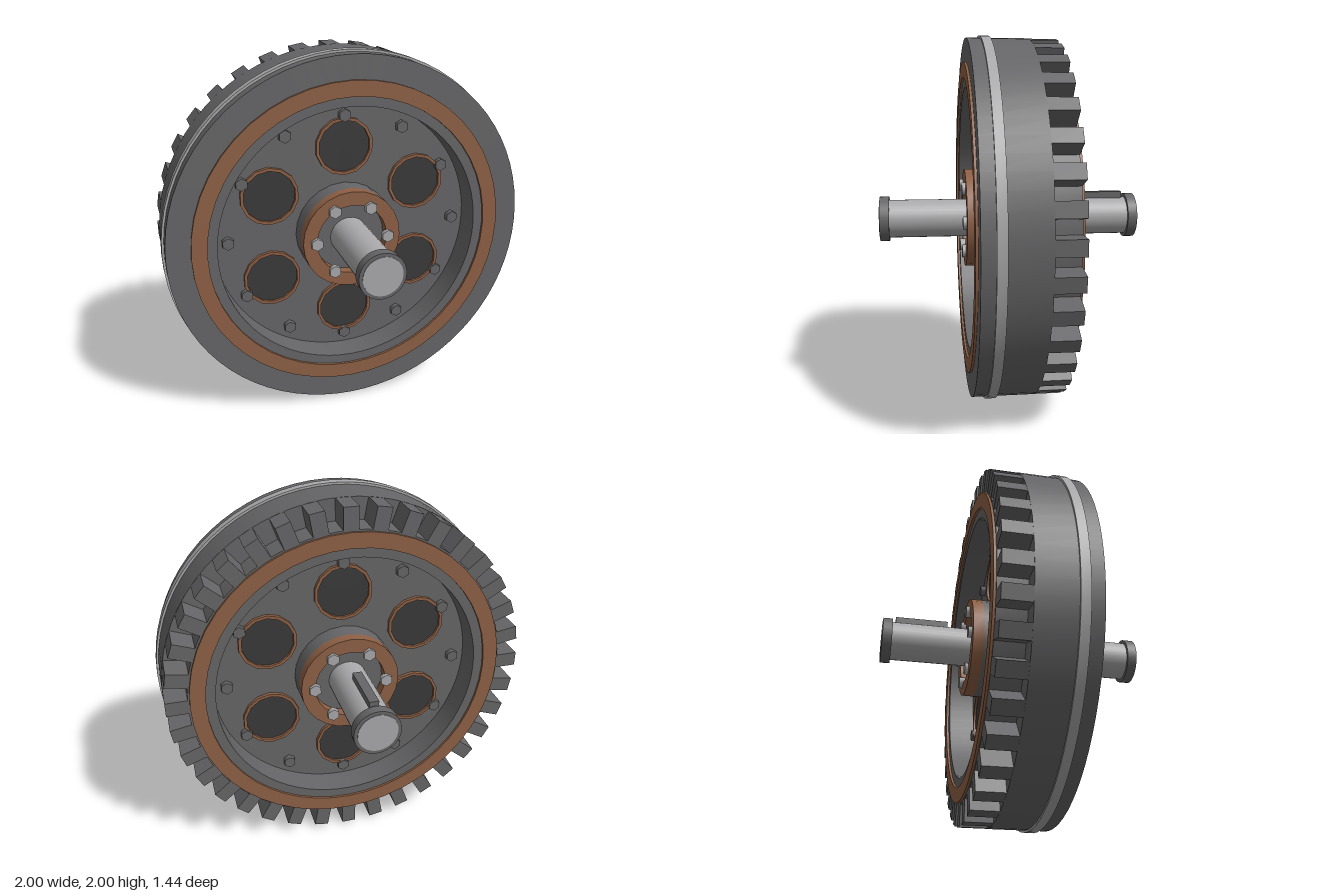
import * as THREE from 'three';
import { toCreasedNormals } from 'three/addons/utils/BufferGeometryUtils.js';

const mat = (name, color) => {
  const m = new THREE.MeshStandardMaterial({ color });
  m.name = name;
  return m;
};

export function createModel() {
  const iron = mat('dark iron', 0x666668);
  const copper = mat('copper', 0x8e6045);
  const black = mat('opening black', 0x3a3a3a);
  const steel = mat('bright steel', 0xaaaaac);

  const model = new THREE.Group();
  const wheel = new THREE.Group();
  wheel.name = 'wheel';
  wheel.position.y = 1;
  model.add(wheel);

  const add = (name, geo, material, x = 0, y = 0, z = 0) => {
    const mesh = new THREE.Mesh(geo, material);
    mesh.name = name;
    mesh.position.set(x, y, z);
    wheel.add(mesh);
    return mesh;
  };
  // Turned solid around the z axis from a closed [radius, z] profile
  const turned = (profile, sides) => toCreasedNormals(
    new THREE.LatheGeometry(profile.map(([r, z]) => new THREE.Vector2(r, z)), sides).rotateX(Math.PI / 2), 0.5);
  const ring = (inner, outer, z0, z1, sides) =>
    turned([[inner, z0], [outer, z0], [outer, z1], [inner, z1], [inner, z0]], sides);
  const disc = (r, z0, z1, sides) =>
    new THREE.CylinderGeometry(r, r, z1 - z0, sides).rotateX(Math.PI / 2).translate(0, 0, (z0 + z1) / 2);
  const around = (count, radius, fn) => {
    for (let i = 0; i < count; i++) {
      const a = (i / count) * Math.PI * 2;
      fn(Math.cos(a) * radius, Math.sin(a) * radius, a);
    }
  };

  // Rim, stepped down at the back to carry the teeth
  add('rim', turned([[0.725, -0.24], [0.87, -0.24], [0.87, -0.09], [0.988, -0.09],
    [0.988, 0.24], [0.725, 0.24], [0.725, -0.24]], 72), iron);
  add('rimBand', ring(0.97, 1, 0.12, 0.17, 72), steel);
  add('web', disc(0.73, -0.09, 0.09, 64), iron);

  // Gear teeth
  const tooth = new THREE.BoxGeometry(0.128, 0.08, 0.15);
  around(36, 0.922, (x, y, a) => {
    add('tooth', tooth, iron, x, y, -0.165).rotation.z = a;
  });

  // Shaft with end collars and key
  add('shaft', disc(0.105, -0.722, 0.722, 32), steel);
  for (const s of [-1, 1]) add('shaftCollar', disc(0.124, -0.026, 0.026, 32), iron, 0, 0, s * 0.693);
  add('shaftKey', new THREE.BoxGeometry(0.05, 0.06, 0.29), iron, 0, 0.108, -0.505);

  // Fittings shared by the front and back faces
  add('hub', disc(0.273, -0.19, 0.19, 24), iron);
  const flange = ring(0.778, 0.861, -0.01, 0.01, 48);
  const hubRing = ring(0.196, 0.273, -0.03, 0.03, 24);
  const portRing = ring(0.143, 0.16, -0.015, 0.015, 14);
  const portDisc = disc(0.146, -0.004, 0.004, 24);
  const bolt = disc(0.035, -0.015, 0.015, 6);
  for (const s of [-1, 1]) {
    add('flangeRing', flange, copper, 0, 0, s * 0.243);
    add('hubRing', hubRing, copper, 0, 0, s * 0.22);
    around(6, 0.2, (x, y) => add('hubBolt', bolt, steel, x, y, s * 0.255));
    around(12, 0.65, (x, y) => add('webBolt', bolt, iron, x, y, s * 0.105));
    for (let i = 0; i < 6; i++) {
      const a = Math.PI / 6 + (i * Math.PI) / 3;
      const x = Math.cos(a) * 0.48, y = Math.sin(a) * 0.48;
      add('portRing', portRing, copper, x, y, s * 0.095);
      add('portOpening', portDisc, black, x, y, s * 0.092);
    }
  }
  return model;
}
